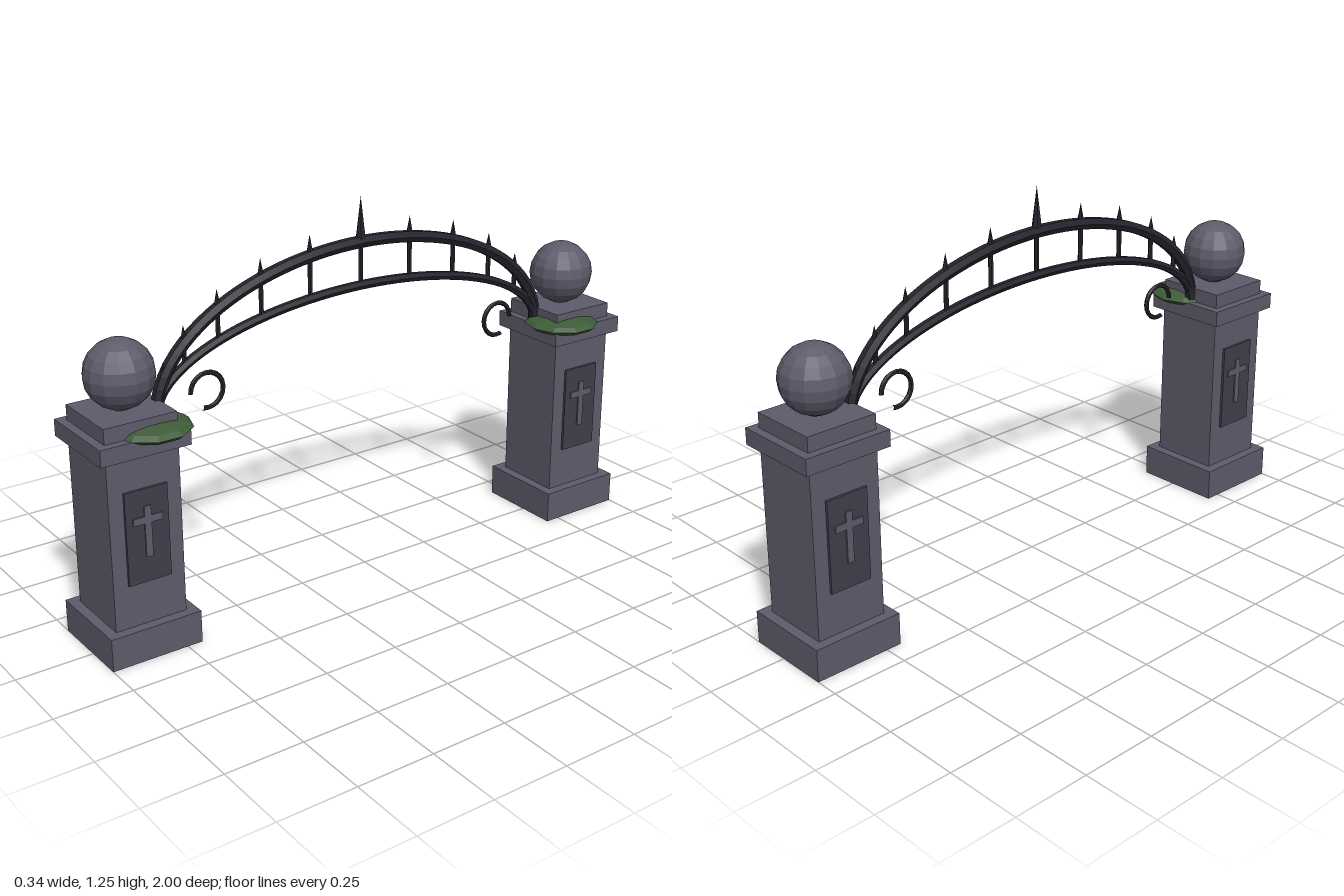
import * as THREE from 'three';

const CX = -0.021; // x of the gate's centre plane
const mat = (color) => new THREE.MeshStandardMaterial({ color, flatShading: true });
const stone = mat(0x5f5b6c), panelStone = mat(0x403d4b), iron = mat(0x25232c), moss = mat(0x3f5c38);

function add(parent, name, geometry, material, x, y, z) {
  const mesh = new THREE.Mesh(geometry, material);
  mesh.name = name;
  mesh.position.set(x, y, z);
  parent.add(mesh);
  return mesh;
}

// Square block standing between two heights
function block(parent, name, width, y0, y1) {
  add(parent, name, new THREE.BoxGeometry(width, y1 - y0, width), stone, 0, (y0 + y1) / 2, 0);
}

function makePillar(side) {
  const pillar = new THREE.Group();
  pillar.name = side > 0 ? 'frontPillar' : 'backPillar';
  pillar.position.set(CX, 0, side * 0.85);
  block(pillar, 'plinth', 0.3, 0, 0.105);
  block(pillar, 'shaft', 0.235, 0.105, 0.647);
  block(pillar, 'cap', 0.29, 0.647, 0.7);
  block(pillar, 'capStep', 0.235, 0.7, 0.748);
  add(pillar, 'ballFinial', new THREE.SphereGeometry(0.107, 14, 10), stone, 0, 0.853, 0);

  // Recessed-looking panel with a raised cross on both x faces
  for (const s of [-1, 1]) {
    add(pillar, 'panel', new THREE.BoxGeometry(0.02, 0.296, 0.14), panelStone, s * 0.116, 0.392, 0);
    add(pillar, 'crossUpright', new THREE.BoxGeometry(0.02, 0.162, 0.022), stone, s * 0.121, 0.406, 0);
    add(pillar, 'crossBar', new THREE.BoxGeometry(0.02, 0.022, 0.096), stone, s * 0.121, 0.444, 0);
  }

  // Flattened moss clump hanging over the cap
  const clump = new THREE.SphereGeometry(0.125, 10, 6).rotateY(Math.PI / 10).scale(1, 0.216, 1);
  add(pillar, 'mossClump', clump, moss, 0.071, 0.7, -side * 0.055);
  return pillar;
}

// Point on a half-elliptical rail; the angle runs from -90 to 90 degrees
const railPoint = (rise, a) => new THREE.Vector3(0, 0.7 + rise * Math.cos(a), 0.735 * Math.sin(a));

function makeRail(parent, name, rise, radius) {
  const points = [];
  for (let i = 0; i <= 32; i++) points.push(railPoint(rise, (i / 32 - 0.5) * Math.PI));
  const curve = new THREE.CatmullRomCurve3(points);
  add(parent, name, new THREE.TubeGeometry(curve, 48, radius, 6), iron, 0, 0, 0);
}

function makeArch() {
  const arch = new THREE.Group();
  arch.name = 'ironArch';
  arch.position.x = CX;
  makeRail(arch, 'upperRail', 0.4, 0.02);
  makeRail(arch, 'lowerRail', 0.26, 0.015);

  // Uprights between the rails, each topped by a spike
  for (let i = -5; i <= 5; i++) {
    const a = i * Math.PI / 12;
    const top = railPoint(0.4, a), low = railPoint(0.26, a);
    add(arch, 'upright', new THREE.CylinderGeometry(0.008, 0.008, top.y - low.y, 6), iron,
      0, (top.y + low.y) / 2, top.z);
    const tip = i === 0 ? 0.145 : 0.042 + 0.027 * Math.cos(a);
    add(arch, i === 0 ? 'centreSpike' : 'spike',
      new THREE.ConeGeometry(i === 0 ? 0.018 : 0.013, tip, 6), iron, 0, top.y + tip / 2, top.z);
  }

  // Open scrolls below each end
  for (const s of [-1, 1]) {
    const scroll = add(arch, 'scroll', new THREE.TorusGeometry(0.056, 0.008, 6, 16, Math.PI * 1.6), iron,
      0, 0.737, s * 0.565);
    scroll.rotation.y = -s * Math.PI / 2;
  }
  return arch;
}

export function createModel() {
  const gate = new THREE.Group();
  gate.name = 'archedGateway';
  gate.add(makePillar(1), makePillar(-1), makeArch());
  return gate;
}
